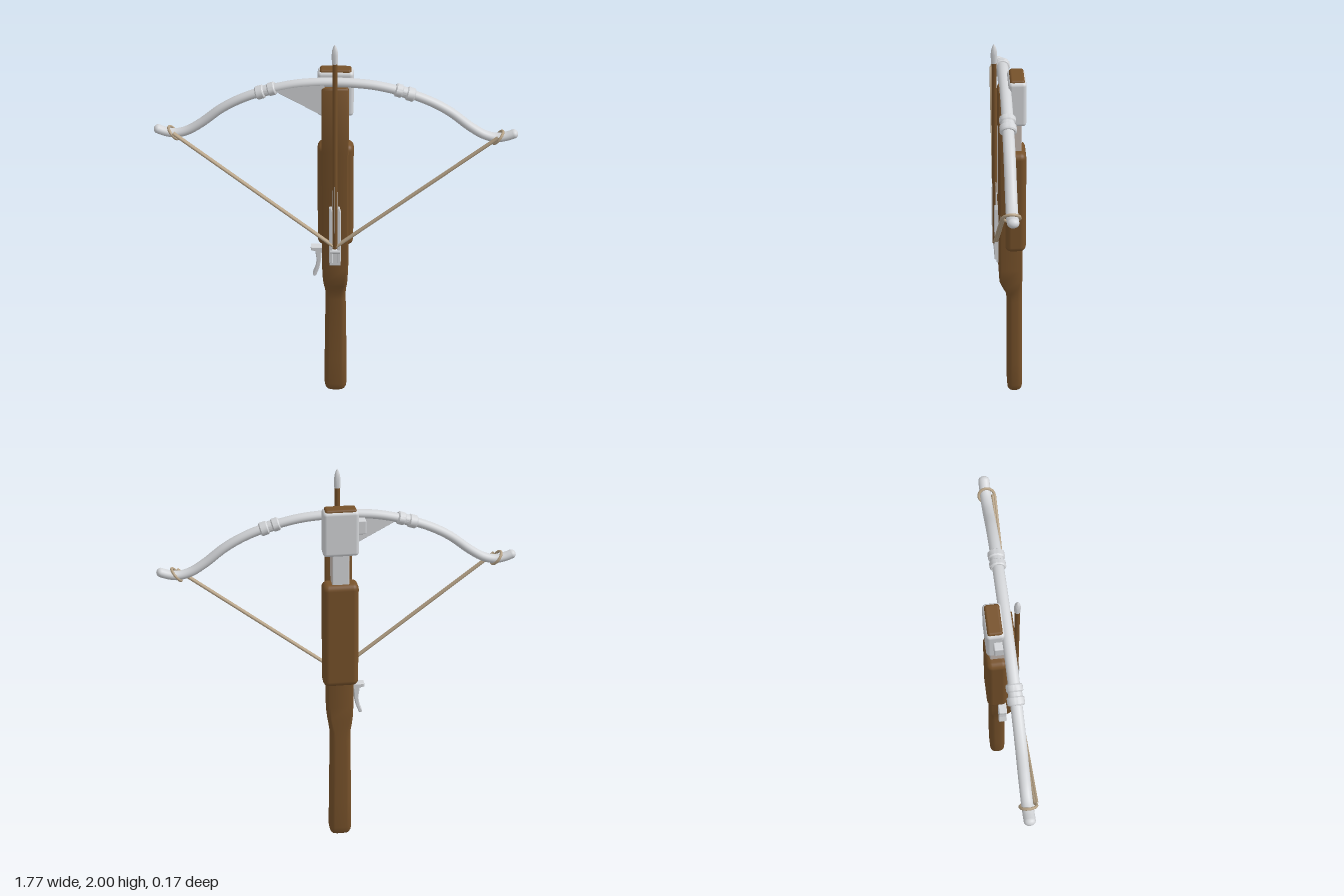
import * as THREE from 'three';
import { toCreasedNormals } from 'three/addons/utils/BufferGeometryUtils.js';
import { RoundedBoxGeometry } from 'three/addons/geometries/RoundedBoxGeometry.js';

const paint = (name, color) => {
  const m = new THREE.MeshStandardMaterial({ color });
  m.name = name;
  return m;
};

// Loft of rounded rectangles stacked along y: [y, halfWidth, zBack, zFront, cornerRadius]
function loft(sections) {
  const perCorner = 5, ring = perCorner * 4, pos = [], idx = [];
  for (const [y, hx, z0, z1, r] of sections) {
    const cz = (z0 + z1) / 2, hz = (z1 - z0) / 2;
    for (let c = 0; c < 4; c++) {
      const sx = c === 0 || c === 3 ? 1 : -1, sz = c < 2 ? 1 : -1;
      for (let i = 0; i < perCorner; i++) {
        const a = (c + i / (perCorner - 1)) * Math.PI / 2;
        pos.push(sx * (hx - r) + r * Math.cos(a), y, cz + sz * (hz - r) + r * Math.sin(a));
      }
    }
  }
  for (let s = 0; s < sections.length - 1; s++) {
    for (let i = 0; i < ring; i++) {
      const a = s * ring + i, b = s * ring + (i + 1) % ring;
      idx.push(a, a + ring, b, b, a + ring, b + ring);
    }
  }
  const top = (sections.length - 1) * ring;
  for (let i = 1; i < ring - 1; i++) {
    idx.push(0, i, i + 1, top, top + i + 1, top + i);
  }
  const g = new THREE.BufferGeometry();
  g.setAttribute('position', new THREE.Float32BufferAttribute(pos, 3));
  g.setIndex(idx);
  return toCreasedNormals(g, 0.9);
}

// Flat outline in x, y extruded from z0 to z1
function plate(points, z0, z1, bevel = 0.004) {
  const g = new THREE.ExtrudeGeometry(new THREE.Shape(points.map(p => new THREE.Vector2(...p))), {
    depth: z1 - z0 - 2 * bevel, bevelSize: bevel, bevelOffset: -bevel, bevelThickness: bevel, bevelSegments: 1,
  });
  return g.translate(0, 0, z0 + bevel);
}

const curve = pts => new THREE.CatmullRomCurve3(pts.map(p => new THREE.Vector3(...p)));

export function createModel() {
  const root = new THREE.Group();
  root.name = 'crossbow';
  const wood = paint('wood', 0x76512a);
  const steel = paint('steel', 0xd3d5d8);
  const warmSteel = paint('warm steel', 0xc6bab2);
  const cord = paint('cord', 0xb8a488);

  const add = (name, geometry, material, x = 0, y = 0, z = 0, parent = root) => {
    const m = new THREE.Mesh(geometry, material);
    m.name = name;
    m.position.set(x, y, z);
    parent.add(m);
    return m;
  };
  const box = (w, h, d, r = 0.005) => new RoundedBoxGeometry(w, h, d, 3, r);

  // Stock: rounded butt, slim handle, deep body, thin rail at the front end
  add('stock', loft([
    [0.005, 0.036, -0.055, -0.006, 0.02],
    [0.012, 0.048, -0.064, 0.002, 0.025],
    [0.025, 0.055, -0.069, 0.007, 0.028],
    [0.05, 0.059, -0.071, 0.009, 0.028],
    [0.2, 0.058, -0.071, 0.01, 0.028],
    [0.58, 0.052, -0.069, 0.01, 0.026],
    [0.63, 0.053, -0.068, 0.016, 0.024],
    [0.67, 0.059, -0.068, 0.034, 0.02],
    [0.71, 0.063, -0.068, 0.049, 0.016],
    [0.78, 0.066, -0.068, 0.053, 0.014],
    [1.42, 0.066, -0.068, 0.053, 0.014],
    [1.43, 0.066, 0.015, 0.053, 0.01],
    [1.76, 0.065, 0.015, 0.053, 0.01],
    [1.77, 0.06, 0.018, 0.048, 0.01],
  ]), wood);
  add('foreGrip', box(0.178, 0.555, 0.104, 0.03), wood, 0, 1.178, -0.032);

  // Steel neck (side faces warmer) and prod block with a wooden core
  add('neck', box(0.085, 0.25, 0.08, 0.006), [warmSteel, warmSteel, steel, steel, steel, steel], 0, 1.52, -0.022);
  add('prodBlock', box(0.174, 0.228, 0.086, 0.018), steel, 0, 1.72, -0.039);
  add('blockCore', box(0.152, 0.04, 0.07, 0.012), wood, 0, 1.823, -0.039);
  add('sideLug', box(0.05, 0.07, 0.05, 0.006), steel, -0.1, 1.74, -0.025);
  add('sideFin', plate([[-0.3, 1.755], [-0.05, 1.62], [-0.05, 1.795], [-0.2, 1.78]], 0.005, 0.044), steel);

  // Bow: one swept limb across, flattened a little, with rounded ends
  const half = [[0.1, 1.787], [0.2, 1.776], [0.33, 1.745], [0.45, 1.702], [0.55, 1.648],
    [0.65, 1.572], [0.72, 1.53], [0.78, 1.515], [0.83, 1.523], [0.862, 1.535]];
  const path = curve([
    ...half.map(([x, y]) => [-x, y, 0]).reverse(), [0, 1.79, 0], ...half.map(([x, y]) => [x, y, 0]),
  ]);
  const bow = new THREE.Group();
  bow.name = 'bow';
  bow.position.z = 0.018;
  bow.scale.z = 1.25;
  root.add(bow);
  add('limbs', new THREE.TubeGeometry(path, 96, 0.022, 16), steel, 0, 0, 0, bow);

  for (const s of [-1, 1]) {
    add('limbTip', new THREE.SphereGeometry(0.022, 16, 12), steel, s * 0.862, 1.535, 0, bow);

    // Pair of raised collars with a narrow waist
    for (const [x, y, r, h] of [[0.304, 1.753, 0.031, 0.038], [0.33, 1.745, 0.026, 0.04], [0.36, 1.735, 0.032, 0.042]]) {
      const profile = [[0.018, -h / 2], [r - 0.005, -h / 2], [r, -h / 2 + 0.006],
        [r, h / 2 - 0.006], [r - 0.005, h / 2], [0.018, h / 2]].map(p => new THREE.Vector2(...p));
      const collar = add('collar', toCreasedNormals(new THREE.LatheGeometry(profile, 18), 0.6), steel, s * x, y, 0, bow);
      collar.rotation.z = s * (-0.3 - Math.PI / 2) + (s < 0 ? Math.PI : 0);
    }

    // Bowstring half: two strands side by side, drawn back to the latch
    for (const z of [-0.005, 0.005]) {
      const strand = new THREE.LineCurve3(
        new THREE.Vector3(s * 0.785, 1.53, 0.056 + z), new THREE.Vector3(0, 0.92, 0.066 + z));
      add('string', new THREE.TubeGeometry(strand, 1, 0.0075, 10), cord);
    }

    // Loop of cord around the limb end
    const loop = [];
    for (let i = 0; i < 12; i++) {
      const a = i / 12 * Math.PI * 2;
      loop.push(new THREE.Vector3(s * (0.788 + 0.022 * Math.cos(a)), 1.518 + 0.029 * Math.cos(a), 0.022 + 0.038 * Math.sin(a)));
    }
    add('stringLoop', new THREE.TubeGeometry(new THREE.CatmullRomCurve3(loop, true), 36, 0.007, 8, true), cord);
  }

  // Latch: base plate, two side rails and a cross nut
  add('latchPlate', box(0.058, 0.2, 0.012, 0.004), steel, 0, 0.91, 0.056);
  for (const s of [-1, 1]) {
    add('latchRail', plate([[-0.009, 0.83], [0.009, 0.83], [0.009, 1.12], [0.002, 1.145], [-0.009, 1.14]], 0.05, 0.073, 0.003),
      steel, s * 0.02);
  }
  const nut = add('latchNut', new THREE.CylinderGeometry(0.012, 0.012, 0.05, 16), steel, 0, 0.895, 0.066);
  nut.rotation.z = Math.PI / 2;

  // Bolt: shaft, vanes and slim pointed head
  const bolt = new THREE.Group();
  bolt.name = 'bolt';
  bolt.position.z = 0.069;
  root.add(bolt);
  add('shaft', new THREE.CylinderGeometry(0.0125, 0.0125, 1.01, 14), wood, 0, 1.42, 0, bolt);
  const head = [[0, 1.905], [0.0145, 1.905], [0.0155, 1.95], [0.013, 1.97], [0.007, 1.99], [0, 2]]
    .map(p => new THREE.Vector2(...p));
  add('head', toCreasedNormals(new THREE.LatheGeometry(head, 14), 0.6), steel, 0, 0, 0, bolt);
  for (let i = 0; i < 3; i++) {
    const vane = add('vane', plate([[0.01, 1.0], [0.017, 1.02], [0.017, 1.2], [0.01, 1.3]], -0.002, 0.002, 0.0005),
      steel, 0, 0, 0, bolt);
    vane.rotation.y = -Math.PI / 2 + i * Math.PI * 2 / 3;
  }

  // Trigger on the right side
  add('trigger', plate([[-0.055, 0.887], [-0.125, 0.887], [-0.125, 0.868], [-0.102, 0.862], [-0.095, 0.81],
    [-0.102, 0.765], [-0.115, 0.73], [-0.112, 0.718], [-0.098, 0.722], [-0.082, 0.765], [-0.073, 0.81],
    [-0.071, 0.855], [-0.055, 0.865]], -0.03, 0.012), steel);

  return root;
}
